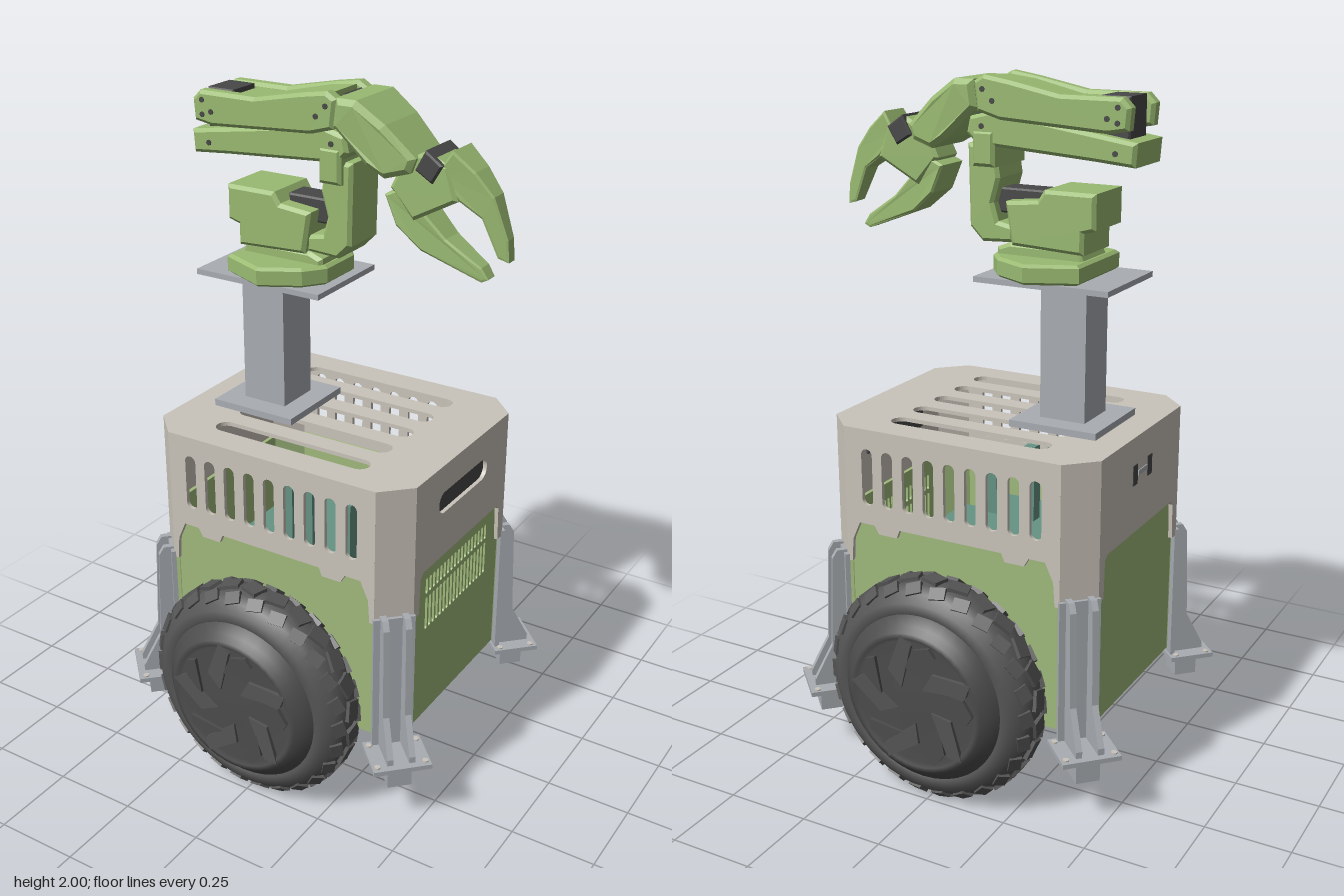
import * as THREE from 'three';

const mat = (name, color) => Object.assign(new THREE.MeshStandardMaterial({ color }), { name });
const M = {
  cover: mat('warm grey cover', 0xcac4ba),
  body: mat('body green', 0x9fb97c),
  arm: mat('arm green', 0x9aba72),
  metal: mat('aluminium', 0xa9adb2),
  tyre: mat('tyre rubber', 0x555555),
  hub: mat('hub grey', 0x4c4c4c),
  dark: mat('motor black', 0x484848),
  board: mat('circuit teal', 0x659384),
};

function add(parent, name, geo, material, x = 0, y = 0, z = 0) {
  const m = new THREE.Mesh(geo, material);
  m.name = name;
  m.position.set(x, y, z);
  parent.add(m);
  return m;
}
const box = (p, name, m, w, h, d, x, y, z) => add(p, name, new THREE.BoxGeometry(w, h, d), m, x, y, z);
const poly = pts => new THREE.Shape(pts.map(p => new THREE.Vector2(...p)));
const mirrorX = half => [...half, ...half.slice().reverse().map(([x, y]) => [-x, y])];

// Rounded slot hole centred on (x, y)
function slot(x, y, w, h) {
  const p = new THREE.Path(), r = Math.min(w, h) / 2, dx = w / 2 - r, dy = h / 2 - r;
  p.absarc(x + dx, y + dy, r, 0, Math.PI / 2);
  p.absarc(x - dx, y + dy, r, Math.PI / 2, Math.PI);
  p.absarc(x - dx, y - dy, r, Math.PI, Math.PI * 1.5);
  p.absarc(x + dx, y - dy, r, Math.PI * 1.5, Math.PI * 2);
  p.closePath();
  return p;
}

// Sheet panel whose outer face lies at distance dist along direction angle
function panel(p, name, m, pts, holes, dist, angle, t = 0.012) {
  const s = poly(pts);
  s.holes.push(...holes);
  const g = new THREE.ExtrudeGeometry(s, { depth: t, bevelEnabled: false, curveSegments: 6 });
  g.translate(0, 0, dist - t).rotateY(angle);
  return add(p, name, g, m);
}

// Chamfered side profile in x, y, extruded symmetrically about z; taper narrows it towards +x
function slab(p, name, m, pts, width, z = 0, bevel = 0.01, taper = null) {
  const g = new THREE.ExtrudeGeometry(poly(pts), {
    depth: width - 2 * bevel, bevelEnabled: bevel > 0, bevelSize: bevel, bevelThickness: bevel,
    bevelOffset: -bevel, bevelSegments: 1,
  });
  g.translate(0, 0, -width / 2 + bevel);
  if (taper) {
    const a = g.attributes.position;
    for (let i = 0; i < a.count; i++) {
      const k = THREE.MathUtils.clamp((a.getX(i) - taper[0]) / (taper[1] - taper[0]), 0, 1);
      a.setZ(i, a.getZ(i) * (1 - k * taper[2]));
    }
    g.computeVertexNormals();
  }
  return add(p, name, g, m, 0, 0, z);
}

const OCT = (a, b, c) => [[a, -b + c], [a, b - c], [a - c, b], [-a + c, b], [-a, b - c], [-a, -b + c], [-a + c, -b], [a - c, -b]];

function chassis(root) {
  const g = new THREE.Group();
  g.name = 'chassis';
  root.add(g);
  // Lower tub, open at the top
  const rect = (hw, y0, y1) => [[hw, y0], [hw, y1], [-hw, y1], [-hw, y0]];
  const vents = [];
  for (let i = 0; i < 18; i++) {
    const x = (i - 8.5) * 0.0212;
    vents.push(slot(x, 0.675, 0.013, 0.05), slot(x, 0.585, 0.013, 0.105));
  }
  for (const a of [0, Math.PI]) panel(g, 'tubLongWall', M.body, rect(0.335, 0.24, 0.75), [], 0.343, a);
  panel(g, 'tubVentWall', M.body, rect(0.265, 0.24, 0.75), vents, 0.413, Math.PI / 2);
  panel(g, 'tubEndWall', M.body, rect(0.265, 0.24, 0.75), [], 0.413, -Math.PI / 2);
  const floor = new THREE.ExtrudeGeometry(poly(OCT(0.413, 0.343, 0.078)), { depth: 0.012, bevelEnabled: false });
  add(g, 'tubFloor', floor.rotateX(-Math.PI / 2), M.body, 0, 0.24, 0);

  // Slotted cover
  const front = mirrorX([[0.345, 1.03], [0.345, 0.62], [0.33, 0.62], [0.325, 0.69], [0.3, 0.745], [0.25, 0.745],
    [0.235, 0.72], [0.175, 0.72], [0.165, 0.745]]);
  const side = mirrorX([[0.275, 1.03], [0.275, 0.62], [0.245, 0.62], [0.24, 0.73], [0.225, 0.745]]);
  const slots = () => Array.from({ length: 9 }, (_, i) => slot((i - 4) * 0.0675, 0.888, 0.036, 0.17));
  for (const a of [0, Math.PI]) panel(g, 'coverLongWall', M.cover, front, slots(), 0.355, a);
  panel(g, 'coverHandleWall', M.cover, side, [slot(0, 0.915, 0.29, 0.065)], 0.425, Math.PI / 2);
  panel(g, 'coverEndWall', M.cover, side, [], 0.425, -Math.PI / 2);
  box(g, 'handleRecess', M.dark, 0.008, 0.08, 0.31, 0.404, 0.915, 0);
  for (const s of [-1, 1]) box(g, 'endSocket', M.dark, 0.008, 0.06, 0.03, -0.423, 0.92, s * 0.05);
  box(g, 'endSocketBar', M.metal, 0.008, 0.015, 0.06, -0.424, 0.92, 0);
  const top = poly(OCT(0.425, 0.355, 0.08));
  for (let i = -2; i <= 2; i++) top.holes.push(slot(0, i * 0.119, 0.51, 0.06));
  const tg = new THREE.ExtrudeGeometry(top, { depth: 0.012, bevelEnabled: false, curveSegments: 4 });
  add(g, 'coverTop', tg.rotateX(-Math.PI / 2), M.cover, 0, 1.02, 0);

  // Electronics inside
  box(g, 'mainBoard', M.board, 0.34, 0.12, 0.58, 0, 0.58, 0);
  box(g, 'crossBoard', M.board, 0.52, 0.1, 0.34, 0, 0.58, 0);
  for (const [x, h] of [[-0.07, 0.24], [0, 0.24], [0.13, 0.2]]) box(g, 'boardModule', M.board, 0.035, h, 0.04, x, 0.64 + h / 2, 0.14);

  // Corner panels and outrigger legs
  for (const sx of [-1, 1]) for (const sz of [-1, 1]) {
    const c = new THREE.Group();
    c.name = 'cornerLeg';
    c.position.set(sx * 0.385, 0, sz * 0.315);
    c.rotation.y = Math.atan2(sx, sz);
    g.add(c);
    box(c, 'coverCorner', M.cover, 0.113, 0.41, 0.012, 0, 0.825, -0.006);
    box(c, 'tubCorner', M.body, 0.112, 0.5, 0.012, 0, 0.49, -0.02);
    box(c, 'legBackPlate', M.metal, 0.12, 0.425, 0.014, 0, 0.425, 0.003);
    for (const s of [-1, 1]) {
      const fin = poly([[0, 0.215], [0.11, 0.215], [0.11, 0.235], [0.055, 0.34], [0.045, 0.62], [0.03, 0.645], [0, 0.645]]);
      const fg = new THREE.ExtrudeGeometry(fin, { depth: 0.018, bevelEnabled: false });
      fg.translate(0, 0, -0.009).rotateY(-Math.PI / 2);
      add(c, 'legFin', fg, M.metal, s * 0.032, 0, 0);
      for (const z of [0.01, 0.11]) add(c, 'footBolt', new THREE.CylinderGeometry(0.009, 0.009, 0.006, 10), M.cover, s * 0.07, 0.217, z);
    }
    box(c, 'footPlate', M.metal, 0.17, 0.014, 0.14, 0, 0.209, 0.06);
    box(c, 'footBlock', M.metal, 0.07, 0.075, 0.07, 0, 0.165, 0.06);
  }
}

function wheel(root, s) {
  const g = new THREE.Group();
  g.name = s > 0 ? 'frontWheel' : 'backWheel';
  g.position.set(0, 0.335, s * 0.435);
  g.rotation.y = s > 0 ? 0 : Math.PI;
  root.add(g);
  const lathe = (pts, n) => new THREE.LatheGeometry(pts.map(p => new THREE.Vector2(...p)), n).rotateX(Math.PI / 2);
  add(g, 'tyre', lathe([[0.2, -0.06], [0.24, -0.076], [0.275, -0.073], [0.305, -0.058], [0.321, -0.035], [0.326, 0],
    [0.321, 0.035], [0.305, 0.058], [0.28, 0.078], [0.255, 0.085], [0.235, 0.07]], 56), M.tyre);
  add(g, 'hub', lathe([[0, -0.065], [0.21, -0.065], [0.21, -0.06], [0.25, 0.06], [0.25, 0.08], [0.225, 0.1], [0.21, 0.12],
    [0.195, 0.122], [0.185, 0.112], [0.06, 0.118], [0, 0.118]], 40), M.hub);
  add(g, 'axle', new THREE.CylinderGeometry(0.05, 0.05, 0.12, 20).rotateX(Math.PI / 2), M.hub, 0, 0, -0.09);
  // Tread lugs: centre row plus staggered shoulders
  const n = 26;
  for (let i = 0; i < n; i++) for (const row of [-1, 0, 1]) {
    const pivot = new THREE.Group();
    pivot.name = 'treadLug';
    pivot.rotation.z = (i + (row ? 0.5 : 0)) / n * Math.PI * 2;
    g.add(pivot);
    const b = box(pivot, 'lug', M.tyre, row ? 0.046 : 0.058, 0.014, row ? 0.036 : 0.046, 0, row ? 0.312 : 0.326, row * 0.048);
    b.rotation.set(row * 0.75, (row || (i % 2 ? 1 : -1)) * 0.3, 0);
  }
  // Swept blades on the hub cap
  const blade = new THREE.ExtrudeGeometry(poly([[0.03, 0.05], [0.165, 0.06], [0.18, 0.1], [0.06, 0.105]]), { depth: 0.012, bevelEnabled: false });
  const rib = new THREE.ExtrudeGeometry(poly([[-0.03, 0.1], [0.07, 0.155], [0.05, 0.18], [0, 0.165]]), { depth: 0.012, bevelEnabled: false });
  for (let i = 0; i < 5; i++) {
    add(g, 'hubBlade', blade, M.tyre, 0, 0, 0.112).rotation.z = i * Math.PI * 0.4;
    add(g, 'hubRib', rib, M.hub, 0, 0, 0.112).rotation.z = i * Math.PI * 0.4;
  }
}

function post(root) {
  const g = new THREE.Group();
  g.name = 'armPost';
  root.add(g);
  box(g, 'postBasePlate', M.metal, 0.27, 0.02, 0.27, -0.205, 1.042, 0);
  box(g, 'postColumn', M.metal, 0.14, 0.39, 0.14, -0.205, 1.247, 0);
  box(g, 'postTopPlate', M.metal, 0.41, 0.016, 0.3, -0.17, 1.449, 0);
}

function arm(root) {
  const g = new THREE.Group();
  g.name = 'robotArm';
  root.add(g);
  // Splayed base
  const base = poly([[-0.28, -0.13], [-0.14, -0.19], [-0.03, -0.13], [0.015, -0.07], [0.015, 0.07], [-0.03, 0.13], [-0.14, 0.19], [-0.28, 0.13]]);
  const bg = new THREE.ExtrudeGeometry(base, { depth: 0.04, bevelThickness: 0.008, bevelSize: 0.01, bevelOffset: -0.01, bevelSegments: 1 });
  add(g, 'armBase', bg.rotateX(-Math.PI / 2), M.arm, 0, 1.465, 0);
  slab(g, 'baseCollar', M.arm, [[-0.27, 1.5], [0, 1.5], [0, 1.53], [-0.04, 1.545], [-0.25, 1.545]], 0.16);
  // Shoulder turntable and upright bracket
  slab(g, 'shoulderHousing', M.arm, [[-0.27, 1.53], [-0.05, 1.54], [-0.03, 1.66], [-0.13, 1.67], [-0.15, 1.7], [-0.305, 1.7], [-0.305, 1.6], [-0.27, 1.59]], 0.18);
  slab(g, 'shoulderMotor', M.dark, [[-0.13, 1.62], [0.02, 1.62], [0.02, 1.69], [-0.13, 1.69]], 0.08, 0, 0.005);
  slab(g, 'shoulderUpright', M.arm, [[-0.05, 1.545], [0.05, 1.54], [0.09, 1.58], [0.095, 1.81], [0.01, 1.81], [-0.005, 1.72], [0.015, 1.65], [0, 1.6], [-0.05, 1.59]], 0.15);
  slab(g, 'shoulderCap', M.arm, [[0, 1.75], [0.07, 1.75], [0.07, 1.85], [0, 1.85]], 0.19);
  // Lower and upper links, joined at the elbow
  slab(g, 'lowerLink', M.arm, [[-0.415, 1.775], [-0.3, 1.785], [0.06, 1.81], [0.09, 1.84], [0.08, 1.885], [0.02, 1.9], [-0.15, 1.88], [-0.42, 1.84]], 0.18);
  slab(g, 'elbowMotor', M.dark, [[-0.385, 1.82], [-0.3, 1.82], [-0.3, 1.955], [-0.385, 1.955]], 0.11, 0, 0.005);
  for (const s of [-1, 1]) {
    slab(g, 'upperLinkSide', M.arm, [[-0.4, 1.87], [-0.34, 1.86], [-0.02, 1.88], [0.05, 1.9], [0.06, 1.98], [0.03, 1.998], [-0.05, 1.985], [-0.2, 1.955], [-0.38, 1.955], [-0.405, 1.93]], 0.045, s * 0.08);
    for (const [x, y] of [[-0.37, 1.93], [-0.34, 1.9], [-0.37, 1.89], [0.0, 1.93], [0.03, 1.96], [-0.36, 1.81], [0.04, 1.86]])
      add(g, 'linkBolt', new THREE.CylinderGeometry(0.008, 0.008, 0.01, 8).rotateX(Math.PI / 2), M.dark, x, y, s * (y < 1.87 ? 0.088 : 0.1));
  }
  slab(g, 'upperLinkCore', M.arm, [[-0.29, 1.875], [0.03, 1.9], [0.03, 1.99], [-0.05, 1.98], [-0.2, 1.945], [-0.29, 1.945]], 0.13);
  // Wrist
  slab(g, 'wristMotor', M.dark, [[0.03, 1.89], [0.11, 1.87], [0.13, 1.94], [0.05, 1.985]], 0.1, 0, 0.005);
  slab(g, 'wristBracket', M.arm, [[0.05, 1.91], [0.15, 1.82], [0.2, 1.79], [0.27, 1.81], [0.285, 1.85], [0.2, 1.93], [0.12, 1.985], [0.06, 1.985]], 0.22, 0, 0.015, [0.14, 0.3, 0.3]);
  slab(g, 'gripperBody', M.arm, [[0.2, 1.76], [0.27, 1.68], [0.4, 1.75], [0.37, 1.84], [0.31, 1.87], [0.24, 1.84]], 0.12);
  slab(g, 'gripperMotor', M.dark, [[0.28, 1.82], [0.33, 1.79], [0.36, 1.84], [0.31, 1.875]], 0.14, 0, 0.005);
  // Gripper fingers
  slab(g, 'upperFinger', M.arm, [[0.34, 1.82], [0.4, 1.75], [0.46, 1.71], [0.505, 1.61], [0.535, 1.6], [0.53, 1.66], [0.49, 1.77], [0.44, 1.83], [0.38, 1.88]], 0.12, 0, 0.006, [0.36, 0.53, 0.7]);
  slab(g, 'lowerFinger', M.arm, [[0.185, 1.74], [0.22, 1.66], [0.29, 1.6], [0.46, 1.535], [0.48, 1.545], [0.46, 1.575], [0.36, 1.64], [0.3, 1.7], [0.25, 1.77]], 0.12, 0, 0.006, [0.22, 0.47, 0.65]);
}

export function createModel() {
  const root = new THREE.Group();
  root.name = 'mobileManipulatorRobot';
  chassis(root);
  wheel(root, 1);
  wheel(root, -1);
  post(root);
  arm(root);
  return root;
}
